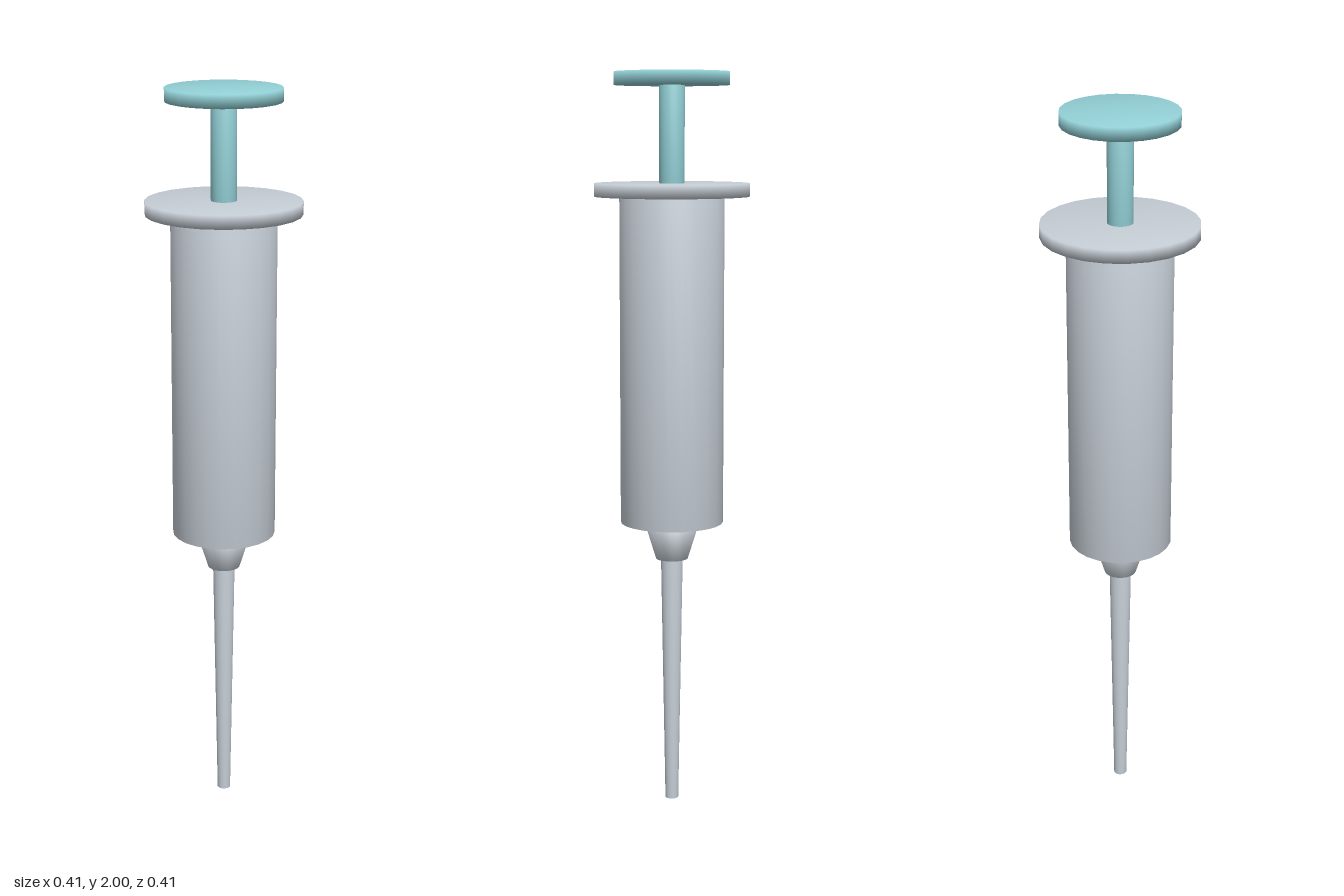
import * as THREE from 'three';

const SIDES = 24;

export function createModel() {
  const group = new THREE.Group();
  const paleGrey = new THREE.MeshStandardMaterial({ color: 0xc6ced6 });
  paleGrey.name = 'pale grey';
  const teal = new THREE.MeshStandardMaterial({ color: 0x93d1d7 });
  teal.name = 'soft teal';

  // Closed turned solid between two heights, softly shaded over its rims
  function turned(name, material, y0, r0, y1, r1) {
    const profile = [[0, y0], [r0, y0], [r1, y1], [0, y1]].map(([x, y]) => new THREE.Vector2(x, y));
    const mesh = new THREE.Mesh(new THREE.LatheGeometry(profile, SIDES), material);
    mesh.name = name;
    group.add(mesh);
  }

  // Needle and the hub that holds it
  turned('needle', paleGrey, 0, 0.018, 0.70, 0.03);
  turned('needleHub', paleGrey, 0.69, 0.044, 0.797, 0.077);

  // Barrel with its finger flange
  turned('barrel', paleGrey, 0.793, 0.14, 1.68, 0.14);
  turned('fingerFlange', paleGrey, 1.675, 0.207, 1.71, 0.207);

  // Plunger
  turned('plungerRod', teal, 1.70, 0.034, 1.97, 0.034);
  turned('thumbPad', teal, 1.965, 0.153, 2, 0.153);

  return group;
}
